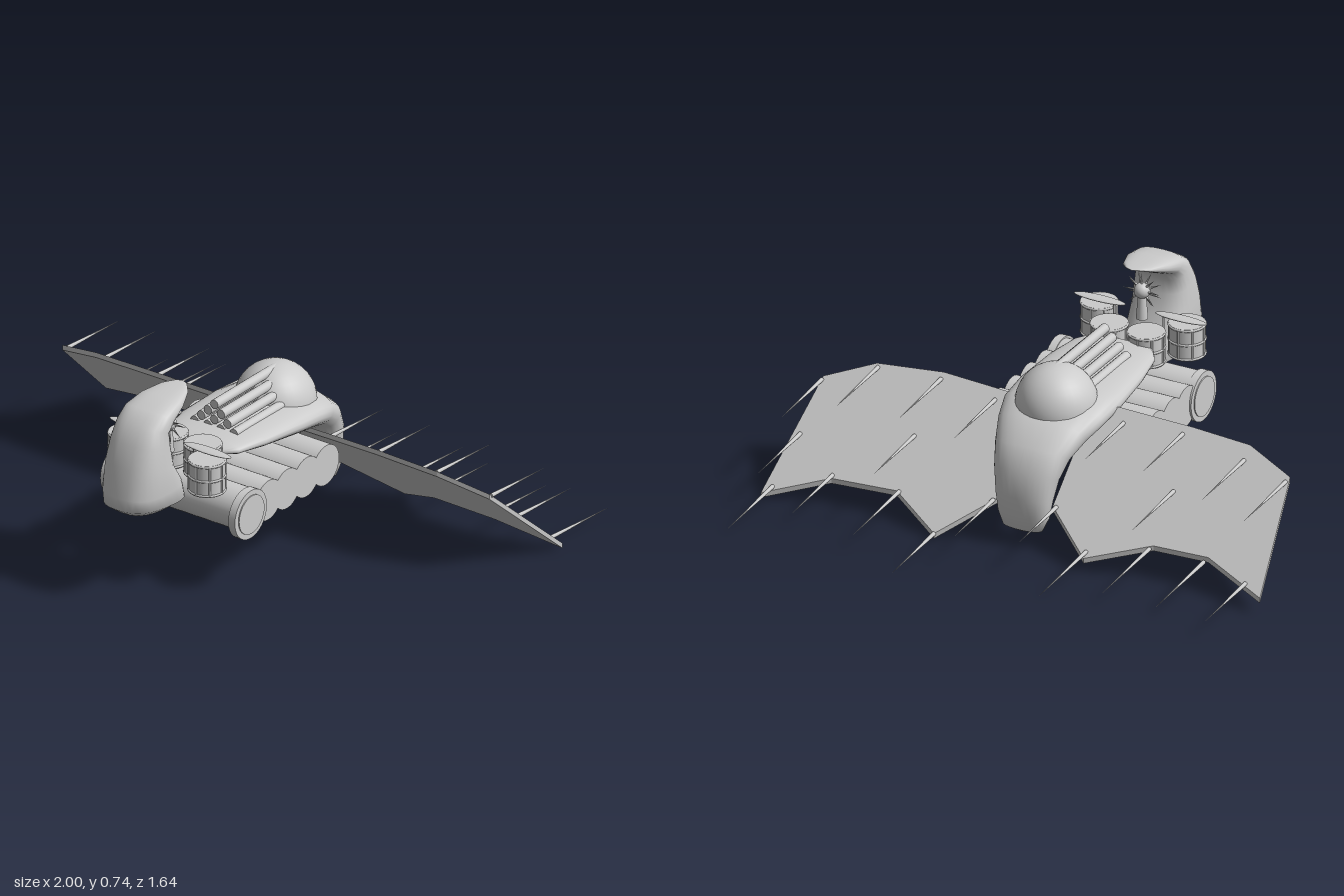
import * as THREE from 'three';

const grey = new THREE.MeshStandardMaterial({ color: 0xcccccc, side: THREE.DoubleSide });

function add(parent, name, geometry, x = 0, y = 0, z = 0) {
  const mesh = new THREE.Mesh(geometry, grey);
  mesh.name = name;
  mesh.position.set(x, y, z);
  parent.add(mesh);
  return mesh;
}

// Smooth skin through sections [outerZ, outerY, innerZ, innerY, halfWidth]; power < 1 gives boxier rings.
function loft(sections, power, n = 28) {
  const pos = [], idx = [];
  const curve = (v) => Math.sign(v) * Math.abs(v) ** power;
  sections.forEach(([az, ay, bz, by, w], i) => {
    for (let j = 0; j < n; j++) {
      const t = (j / n) * Math.PI * 2, c = curve(Math.cos(t)), s = curve(Math.sin(t));
      pos.push(w * c, (ay + by) / 2 + (s * (ay - by)) / 2, (az + bz) / 2 + (s * (az - bz)) / 2);
      if (i === sections.length - 1) continue;
      const a = i * n + j, b = i * n + ((j + 1) % n);
      idx.push(a, a + n, b + n, a, b + n, b);
    }
  });
  const g = new THREE.BufferGeometry();
  g.setAttribute('position', new THREE.Float32BufferAttribute(pos, 3));
  g.setIndex(idx);
  g.computeVertexNormals();
  return g;
}

// Thin sloping membrane: outline points are [x, z], height follows z.
const SLOPE = 0.91;
function wing(outline, lift) {
  const shape = new THREE.Shape(outline.map(([x, z]) => new THREE.Vector2(x, -z)));
  const g = new THREE.ExtrudeGeometry(shape, { depth: 0.02, bevelEnabled: false }).rotateX(-Math.PI / 2);
  const p = g.attributes.position;
  for (let i = 0; i < p.count; i++) p.setY(i, p.getY(i) + lift + SLOPE * p.getZ(i));
  g.computeVertexNormals();
  return g;
}

function drum(parent, x, y, z, r, h) {
  const g = new THREE.Group();
  g.name = 'drum';
  g.position.set(x, y, z);
  add(g, 'drumShell', new THREE.CylinderGeometry(r, r, h, 28));
  for (const k of [-0.46, 0, 0.46])
    add(g, 'drumHoop', new THREE.TorusGeometry(r, 0.005, 6, 28).rotateX(Math.PI / 2), 0, h * k, 0);
  for (let i = 0; i < 8; i++) {
    const a = (i / 8) * Math.PI * 2;
    add(g, 'drumLug', new THREE.CylinderGeometry(0.004, 0.004, h * 0.9, 6), r * Math.cos(a), 0, r * Math.sin(a));
  }
  parent.add(g);
}

export function createModel() {
  const model = new THREE.Group();
  model.name = 'wingedVehicle';

  // Hooked canopy at the front
  add(model, 'hookedCanopy', loft([
    [0.65, 0.335, 0.65, 0.335, 0],
    [0.79, 0.355, 0.51, 0.332, 0.085],
    [0.83, 0.385, 0.5, 0.345, 0.11],
    [0.825, 0.43, 0.53, 0.42, 0.12],
    [0.8, 0.54, 0.585, 0.5, 0.115],
    [0.77, 0.62, 0.605, 0.58, 0.108],
    [0.73, 0.685, 0.615, 0.63, 0.1],
    [0.67, 0.722, 0.59, 0.667, 0.1],
    [0.58, 0.74, 0.535, 0.695, 0.088],
    [0.49, 0.744, 0.475, 0.725, 0.058],
    [0.445, 0.744, 0.445, 0.738, 0.025],
    [0.435, 0.742, 0.435, 0.742, 0],
  ], 0.75));

  // Body sweeping back into the drooping tail
  add(model, 'bodyAndTail', loft([
    [0.39, 0.475, 0.39, 0.475, 0],
    [0.38, 0.49, 0.38, 0.455, 0.13],
    [0.33, 0.495, 0.33, 0.44, 0.165],
    [0.2, 0.5, 0.2, 0.42, 0.19],
    [0, 0.498, 0, 0.39, 0.205],
    [-0.14, 0.485, -0.1, 0.37, 0.2],
    [-0.25, 0.45, -0.16, 0.34, 0.175],
    [-0.34, 0.38, -0.22, 0.3, 0.145],
    [-0.385, 0.3, -0.26, 0.24, 0.125],
    [-0.4, 0.2, -0.28, 0.17, 0.11],
    [-0.39, 0.12, -0.3, 0.11, 0.1],
    [-0.378, 0.065, -0.32, 0.07, 0.08],
    [-0.355, 0.05, -0.355, 0.05, 0],
  ], 0.85).translate(0.01, 0, 0));

  // Dome and the stacked pipes running forward from it
  add(model, 'dome', new THREE.SphereGeometry(0.15, 32, 20), 0.01, 0.45, -0.1);
  for (let row = 0; row < 4; row++)
    for (let i = 0; i <= row; i++)
      add(model, 'pipe', new THREE.CylinderGeometry(0.018, 0.018, 0.37, 14).rotateX(Math.PI / 2),
        0.015 + (i - row / 2) * 0.058, 0.582 - row * 0.03, 0.085);

  // Row of rollers under the body, with the flanged front roller
  const roller = (name, r, len, x, y, z) =>
    add(model, name, new THREE.CylinderGeometry(r, r, len, 32).rotateZ(Math.PI / 2), x, y, z);
  for (const z of [0.33, 0.22, 0.105, -0.01]) roller('roller', 0.078, 0.585, 0.01, 0.313, z);
  roller('frontRoller', 0.08, 0.57, 0.01, 0.315, 0.44);
  for (const x of [-0.275, 0.295]) {
    roller('rollerFlange', 0.095, 0.03, x, 0.305, 0.445);
    roller('rollerHub', 0.075, 0.038, x, 0.305, 0.445);
  }

  // Drum kit
  for (const s of [-1, 1]) {
    drum(model, 0.008 + s * 0.178, 0.468, 0.54, 0.066, 0.125);
    drum(model, 0.01 + s * 0.075, 0.458, 0.43, 0.066, 0.12);
    const cymbal = add(model, 'cymbal', new THREE.SphereGeometry(1, 24, 10), 0.008 + s * 0.165, 0.55, 0.52);
    cymbal.scale.set(0.105, 0.006, 0.025);
    add(model, 'cymbalStand', new THREE.CylinderGeometry(0.005, 0.005, 0.15, 8), 0.008 + s * 0.1, 0.475, 0.51);
  }

  // Small spiky-headed figure under the canopy
  const figure = new THREE.Group();
  figure.name = 'spikyFigure';
  figure.position.set(0.01, 0.615, 0.535);
  add(figure, 'figureBody', new THREE.CylinderGeometry(0.014, 0.022, 0.1, 12), 0, -0.06, 0);
  add(figure, 'figureHead', new THREE.SphereGeometry(0.03, 16, 12));
  for (let i = 0; i < 16; i++)
    add(figure, 'headSpike', new THREE.ConeGeometry(0.005, 0.05, 6)
      .translate(0, 0.05, 0).rotateX(i % 2 ? 0.3 : -0.1).rotateZ((i / 16) * Math.PI * 2));
  model.add(figure);

  // Wings
  const leftLift = 0.442, rightLift = 0.445;
  add(model, 'leftWing', wing([[0.1, -0.06], [0.22, -0.05], [0.5, -0.04], [0.76, -0.06], [0.94, -0.13],
    [1, -0.485], [0.76, -0.4], [0.5, -0.39], [0.3, -0.51 + 0.03], [0.3, -0.48], [0.1, -0.33]], leftLift));
  add(model, 'rightWing', wing([[-0.1, -0.03], [-0.2, -0.02], [-0.5, -0.025], [-0.74, -0.035], [-0.935, -0.095],
    [-1, -0.44], [-0.75, -0.365], [-0.53, -0.37], [-0.29, -0.45], [-0.1, -0.33]], rightLift));

  // Long thin spikes pointing back from the wings: [x, zStart, zEnd]
  const spikes = [
    [-0.925, -0.41, -0.71], [-0.925, -0.11, -0.43], [-0.74, -0.38, -0.74], [-0.74, -0.08, -0.4],
    [-0.525, -0.21, -0.52], [-0.52, -0.38, -0.74], [-0.475, -0.05, -0.35], [-0.29, -0.43, -0.78],
    [-0.24, -0.06, -0.36], [-0.115, -0.33, -0.62], [0.13, -0.35, -0.66], [0.3, -0.48, -0.79],
    [0.27, -0.08, -0.4], [0.49, -0.39, -0.74], [0.515, -0.23, -0.55], [0.5, -0.06, -0.37],
    [0.76, -0.39, -0.71], [0.75, -0.07, -0.4], [0.94, -0.14, -0.46], [0.94, -0.3, -0.62], [0.965, -0.46, -0.81],
  ];
  for (const [x, z0, z1] of spikes) {
    const y = (x > 0 ? leftLift : rightLift) + SLOPE * z0 + 0.02;
    const len = z0 - z1;
    add(model, 'wingSpike', new THREE.ConeGeometry(0.008, len, 8).translate(0, len / 2, 0)
      .rotateX(-Math.PI / 2 - 0.06), x, y, z0);
  }
  return model;
}
